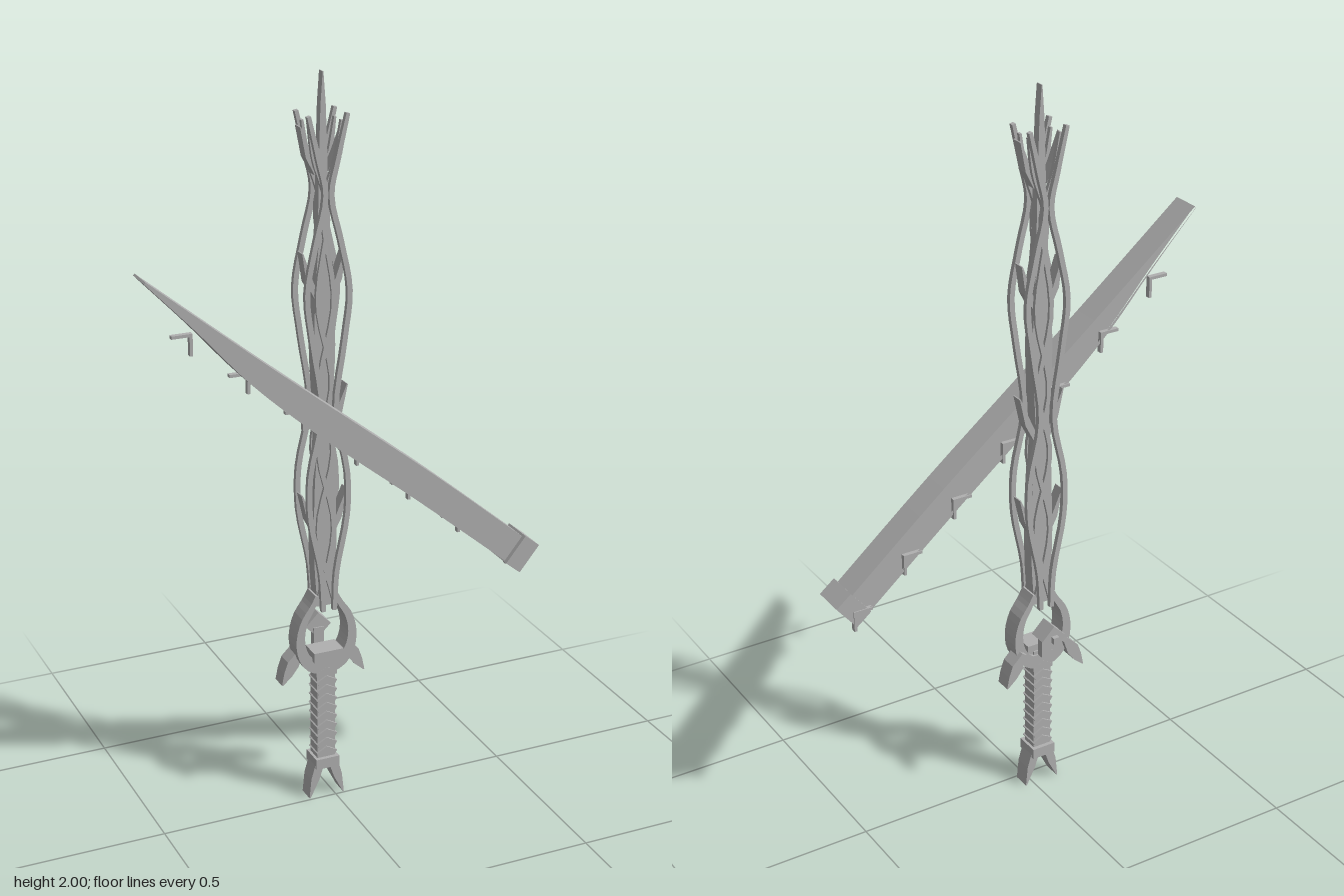
import * as THREE from 'three';

const metal = new THREE.MeshStandardMaterial({ color: 0xb0b0b0, flatShading: true });
metal.name = 'plain grey';
const CX = -0.025; // sword axis

function add(parent, name, geometry) {
  const m = new THREE.Mesh(geometry, metal);
  m.name = name;
  parent.add(m);
  return m;
}

// Flat band of varying width along [x, y, width] points, between two depths
function band(pts, z0, z1, steps = 0, inner = 0) {
  let path = pts;
  if (steps) {
    const curve = new THREE.CatmullRomCurve3(pts.map(p => new THREE.Vector3(...p)));
    path = curve.getPoints(steps).map(v => [v.x, v.y, Math.max(v.z, 0.002)]);
  }
  const outline = k => {
    const left = [], right = [];
    path.forEach(([x, y, w], i) => {
      const a = path[Math.max(i - 1, 0)], b = path[Math.min(i + 1, path.length - 1)];
      const t = new THREE.Vector2(b[0] - a[0], b[1] - a[1]).normalize().multiplyScalar(w * k / 2);
      left.push(new THREE.Vector2(x - t.y, y + t.x));
      right.unshift(new THREE.Vector2(x + t.y, y - t.x));
    });
    return left.concat(right);
  };
  const shape = new THREE.Shape(outline(1));
  if (inner) shape.holes.push(new THREE.Path(outline(inner)));
  const g = new THREE.ExtrudeGeometry(shape, { depth: z1 - z0, bevelEnabled: false });
  return g.translate(0, 0, z0);
}

function box(w, h, d, x, y, z) {
  return new THREE.BoxGeometry(w, h, d).translate(x, y, z);
}

// Offsets from the sword axis, mirrored to both sides
function pair(parent, name, pts, z0, z1, steps = 0) {
  for (const s of [1, -1]) {
    const p = pts.map(([x, y, w]) => [s * x, y, w]);
    add(parent, (s > 0 ? 'left' : 'right') + name, band(p, z0, z1, steps));
  }
}

function buildSword() {
  const sword = new THREE.Group();
  sword.name = 'sword';
  sword.position.x = CX;

  // Grip with wrapped bands
  add(sword, 'grip', box(0.053, 0.32, 0.046, 0, 0.27, -0.03));
  for (let i = 0; i < 10; i++) {
    const y = 0.14 + i * 0.027;
    const v = [[-0.027, y - 0.009, 0.012], [0, y + 0.007, 0.012], [0.027, y - 0.009, 0.012]];
    add(sword, 'gripWrap', band(v, -0.058, -0.002));
  }

  // Forked pommel
  add(sword, 'pommelCollar', box(0.068, 0.03, 0.068, 0, 0.105, -0.03));
  pair(sword, 'PommelProng', [[0.02, 0.1, 0.026], [0.034, 0.055, 0.024], [0.05, 0, 0.003]], -0.053, -0.005);

  // Ring guard with swept spikes
  pair(sword, 'GuardRing', [[0, 0.395, 0.04], [0.04, 0.405, 0.036], [0.067, 0.44, 0.03],
    [0.075, 0.49, 0.024], [0.064, 0.54, 0.02], [0.04, 0.58, 0.016], [0.028, 0.61, 0.008]], -0.057, -0.003, 16);
  pair(sword, 'GuardSpike', [[0.066, 0.445, 0.016], [0.088, 0.41, 0.036], [0.103, 0.382, 0.026],
    [0.12, 0.353, 0.003]], -0.07, -0.025);
  add(sword, 'guardBar', box(0.084, 0.028, 0.06, 0, 0.435, -0.019));
  add(sword, 'guardBlock', box(0.06, 0.05, 0.055, 0, 0.395, -0.03));

  // Diamond gem mounted behind the ring
  const gem = add(sword, 'gem', new THREE.BoxGeometry(0.052, 0.052, 0.053));
  gem.position.set(0, 0.495, -0.085);
  gem.rotation.z = Math.PI / 4;
  add(sword, 'gemKnob', box(0.018, 0.018, 0.014, 0, 0.495, -0.117));
  add(sword, 'gemBracket', box(0.03, 0.07, 0.02, 0, 0.455, -0.065));

  // Blade core and tapering point
  add(sword, 'bladeCore', band([[0, 0.575, 0.045], [0, 0.7, 0.062], [0, 0.9, 0.06], [0, 1.08, 0.04],
    [0, 1.3, 0.058], [0, 1.48, 0.046], [0, 1.64, 0.02]], -0.048, -0.012, 24));
  add(sword, 'bladePoint', band([[0, 0.9, 0.024], [0, 1.6, 0.03], [0, 1.8, 0.022], [0, 1.92, 0.014],
    [0, 2, 0.002]], -0.041, -0.019));

  // Winding strands in front of and behind the core
  const strand = [[0.016, 0.57, 0.012], [0.022, 0.68, 0.014], [0.052, 0.84, 0.014], [0.052, 0.96, 0.014],
    [0.02, 1.13, 0.014], [0.044, 1.32, 0.014], [0.058, 1.45, 0.014], [0.034, 1.58, 0.014],
    [0.008, 1.7, 0.014], [0.026, 1.79, 0.013], [0.052, 1.9, 0.01]];
  pair(sword, 'FrontStrand', strand, 0.002, 0.015, 40);
  pair(sword, 'BackStrand', strand, -0.075, -0.062, 40);

  // Inner strands crossing the core
  const innerStrand = [[0.025, 0.58, 0.012], [-0.022, 0.8, 0.012], [0.02, 1.02, 0.012], [-0.016, 1.2, 0.012],
    [0.022, 1.42, 0.012], [-0.006, 1.66, 0.012], [0.03, 1.79, 0.012], [0.044, 1.88, 0.006]];
  pair(sword, 'InnerFrontStrand', innerStrand, -0.015, -0.004, 36);
  pair(sword, 'InnerBackStrand', innerStrand, -0.056, -0.045, 36);

  // Thorns branching off the blade
  for (const [y, reach] of [[0.78, 0.064], [1.07, 0.064], [1.43, 0.058], [1.75, 0.062]]) {
    pair(sword, 'Thorn', [[0.018, y, 0.016], [0.04, y + 0.045, 0.018], [reach, y + 0.12, 0.003]], -0.046, -0.014);
  }
  return sword;
}

function buildScabbard() {
  const scabbard = new THREE.Group();
  scabbard.name = 'scabbard';

  // Curved tapering body with a raised rim on its back
  const line = [[-0.538, 1.567, 0.006], [-0.4, 1.438, 0.03], [-0.25, 1.295, 0.062],
    [-0.08, 1.15, 0.076], [0.2, 0.925, 0.08], [0.485, 0.686, 0.08]];
  add(scabbard, 'scabbardBody', band(line, 0.034, 0.105, 20));
  const rimLine = line.map(([x, y, w]) => [x, y, w]);
  add(scabbard, 'scabbardRim', band(rimLine, 0.025, 0.034, 20, 0.75));

  // End cap
  const cap = add(scabbard, 'scabbardCap', new THREE.BoxGeometry(0.054, 0.09, 0.093));
  cap.position.set(0.495, 0.68, 0.0715);
  cap.rotation.z = -0.68;

  // Row of angled clips along the back
  for (let i = 0; i < 7; i++) {
    const x = -0.397 + i * 0.149, y = 1.402 - i * 0.121;
    const clip = new THREE.Group();
    clip.name = 'scabbardClip';
    add(clip, 'clipAcross', box(0.055, 0.008, 0.014, x - 0.0275, y - 0.004, 0.029));
    add(clip, 'clipDown', box(0.008, 0.058, 0.014, x - 0.004, y - 0.029, 0.029));
    scabbard.add(clip);
  }
  return scabbard;
}

export function createModel() {
  const model = new THREE.Group();
  model.name = 'swordAndScabbard';
  model.add(buildSword(), buildScabbard());
  return model;
}
